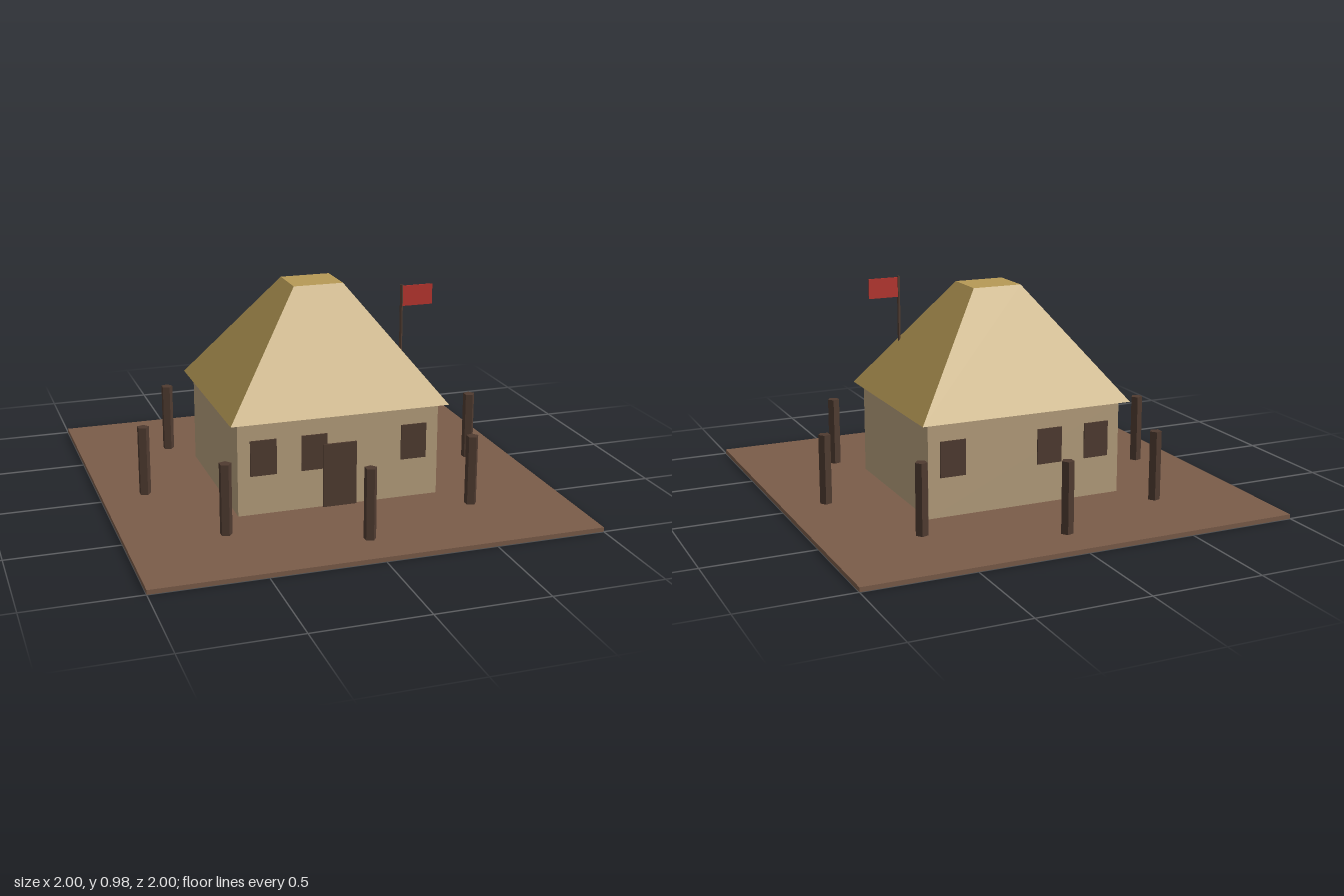
import * as THREE from 'three';

const mat = (name, color) => {
  const m = new THREE.MeshStandardMaterial({ color, flatShading: true });
  m.name = name;
  return m;
};

export function createModel() {
  const earth = mat('earth', 0x7a5c49);
  const clay = mat('clay', 0xb59e7c);
  const thatch = mat('thatch', 0xb79a56);
  const wood = mat('darkWood', 0x4f3b30);
  const cloth = mat('redCloth', 0xb8342d);

  const hut = new THREE.Group();
  hut.name = 'hut';
  const add = (name, geometry, material, x, y, z) => {
    const mesh = new THREE.Mesh(geometry, material);
    mesh.name = name;
    mesh.position.set(x, y, z);
    hut.add(mesh);
    return mesh;
  };
  const box = (name, material, w, h, d, x, y, z) =>
    add(name, new THREE.BoxGeometry(w, h, d), material, x, y, z);

  // Ground slab and walls
  box('ground', earth, 2, 0.02, 2, 0, 0.01, 0);
  box('walls', clay, 0.935, 0.43, 0.8, 0, 0.235, 0);

  // Thatched roof: a four-sided truncated pyramid
  const roof = new THREE.CylinderGeometry(0.23 * Math.SQRT2, Math.SQRT2, 0.512, 4);
  roof.rotateY(Math.PI / 4).scale(0.505, 1, 0.438);
  add('roof', roof, thatch, 0, 0.706, 0);

  // Door and matching windows on front and back
  box('door', wood, 0.156, 0.295, 0.009, 0, 0.1675, 0.4075);
  for (const side of [1, -1]) {
    for (const x of [-0.351, -0.117, 0.351]) {
      box('window', wood, 0.12, 0.163, 0.006, x, 0.283, side * 0.403);
    }
  }

  // Ring of fence posts
  const post = new THREE.CylinderGeometry(0.028, 0.028, 0.32, 5);
  post.rotateY(Math.PI / 2);
  for (let i = 0; i < 8; i++) {
    const a = (i * Math.PI) / 4;
    add('post', post, wood, Math.cos(a) * 0.8, 0.18, Math.sin(a) * 0.8);
  }

  // Flag and its pole, rising from the roof corner
  add('flagPole', new THREE.CylinderGeometry(0.0075, 0.0075, 0.335, 5), wood, 0.333, 0.8075, 0.268);
  box('flag', cloth, 0.143, 0.092, 0.006, 0.408, 0.924, 0.268);

  return hut;
}
